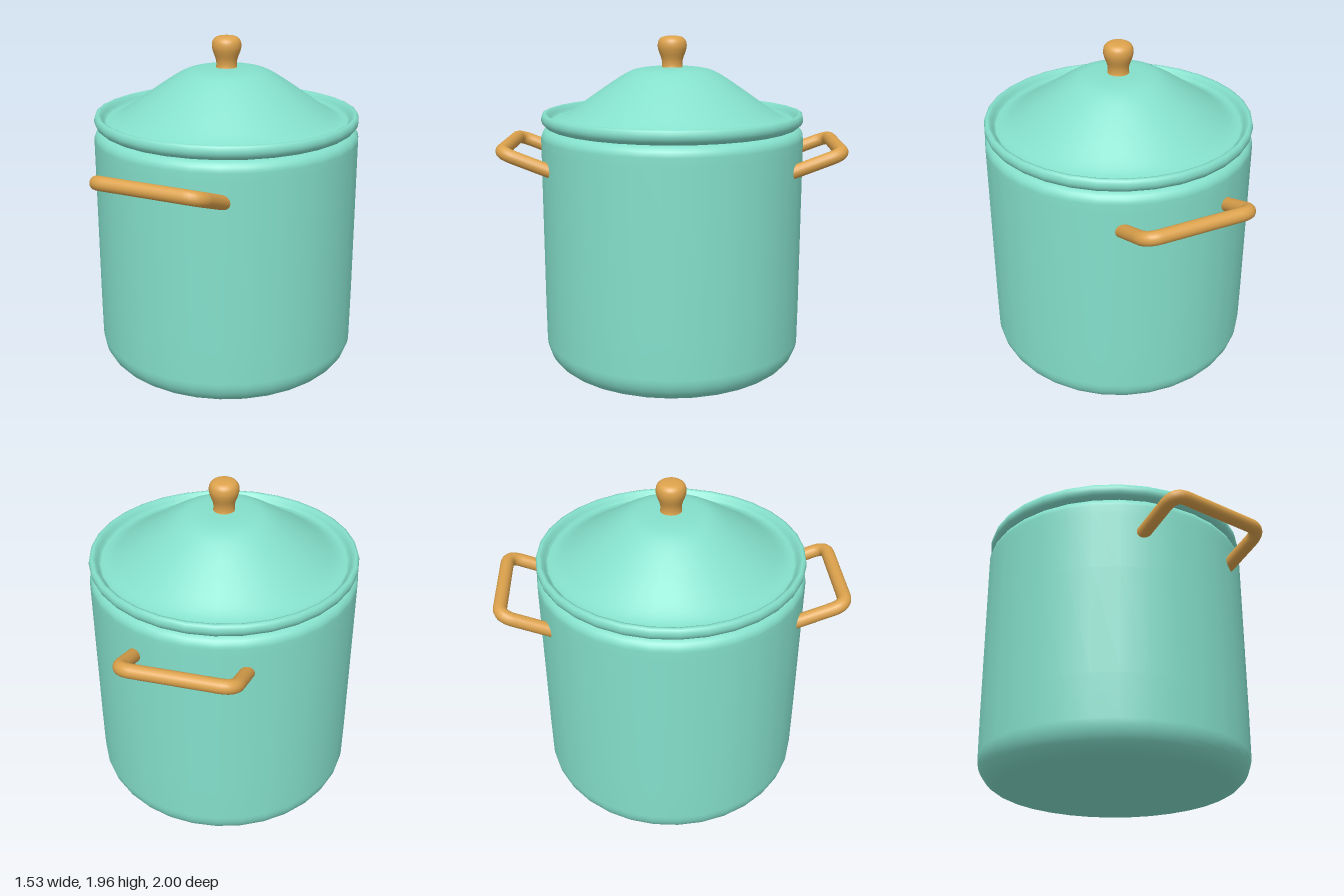
import * as THREE from 'three';

const enamel = new THREE.MeshStandardMaterial({ color: 0x84dfcb, side: THREE.DoubleSide });
enamel.name = 'teal enamel';
const wood = new THREE.MeshStandardMaterial({ color: 0xdca24c });
wood.name = 'honey wood';

const v2 = (x, y) => new THREE.Vector2(x, y);
const v3 = (x, y, z) => new THREE.Vector3(x, y, z);

// Revolves a profile of [radius, height] pairs, listed from bottom to top
function turned(name, points, segments, material) {
  const mesh = new THREE.Mesh(new THREE.LatheGeometry(points, segments), material);
  mesh.name = name;
  return mesh;
}

// Quarter-round corner of a profile
function arc(cx, cy, rx, ry, from, to, steps) {
  return Array.from({ length: steps + 1 }, (_, i) => {
    const a = THREE.MathUtils.degToRad(from + (to - from) * i / steps);
    return v2(cx + rx * Math.cos(a), cy + ry * Math.sin(a));
  });
}

// Bent bar handle with rounded corners, sloping up away from the pot
function createHandle() {
  const w = 0.308, r = 0.08;
  const at = (x, z) => v3(x, 1.222 + (z - 0.69) * 0.385, z);
  const inner = 0.67, outer = 0.96;
  const path = new THREE.CurvePath();
  path.add(new THREE.LineCurve3(at(-w, inner), at(-w, outer - r)));
  path.add(new THREE.QuadraticBezierCurve3(at(-w, outer - r), at(-w, outer), at(-w + r, outer)));
  path.add(new THREE.LineCurve3(at(-w + r, outer), at(w - r, outer)));
  path.add(new THREE.QuadraticBezierCurve3(at(w - r, outer), at(w, outer), at(w, outer - r)));
  path.add(new THREE.LineCurve3(at(w, outer - r), at(w, inner)));
  const mesh = new THREE.Mesh(new THREE.TubeGeometry(path, 72, 0.039, 16), wood);
  mesh.name = 'handle';
  return mesh;
}

export function createModel() {
  const model = new THREE.Group();
  model.name = 'stockPot';

  // Pot body with rounded base and shoulder
  model.add(turned('potBody', [
    v2(0, 0), v2(0.3, 0), v2(0.58, 0.002),
    ...arc(0.62, 0.16, 0.145, 0.155, -80, 0, 8),
    v2(0.767, 0.4), v2(0.767, 1.0), v2(0.767, 1.33),
    ...arc(0.707, 1.38, 0.06, 0.06, 0, 90, 6),
    v2(0.64, 1.44),
  ], 32, enamel));

  // Lid: underside, curled rim, groove and bell-shaped dome
  const dome = new THREE.SplineCurve([
    v2(0.705, 1.482), v2(0.665, 1.487), v2(0.6, 1.52), v2(0.46, 1.618),
    v2(0.34, 1.7), v2(0.26, 1.748), v2(0.2, 1.769), v2(0.12, 1.778), v2(0, 1.78),
  ]).getPoints(32);
  model.add(turned('lid', [
    v2(0, 1.432), v2(0.6, 1.432), v2(0.69, 1.434),
    ...arc(0.7, 1.49, 0.064, 0.054, -75, 10, 7),
    v2(0.758, 1.518), v2(0.744, 1.523), v2(0.73, 1.518), v2(0.717, 1.498),
    ...dome,
  ], 32, enamel));

  // Knob flaring up to a rounded top
  const knob = new THREE.SplineCurve([
    v2(0.066, 1.765), v2(0.059, 1.79), v2(0.062, 1.825), v2(0.078, 1.87),
    v2(0.084, 1.9), v2(0.079, 1.93), v2(0.06, 1.95), v2(0.03, 1.957), v2(0, 1.958),
  ]).getPoints(32);
  model.add(turned('lidKnob', knob, 32, wood));

  // Front and back handles
  for (const side of ['front', 'back']) {
    const group = new THREE.Group();
    group.name = side + 'Handle';
    group.add(createHandle());
    if (side === 'back') group.rotation.y = Math.PI;
    model.add(group);
  }
  return model;
}
